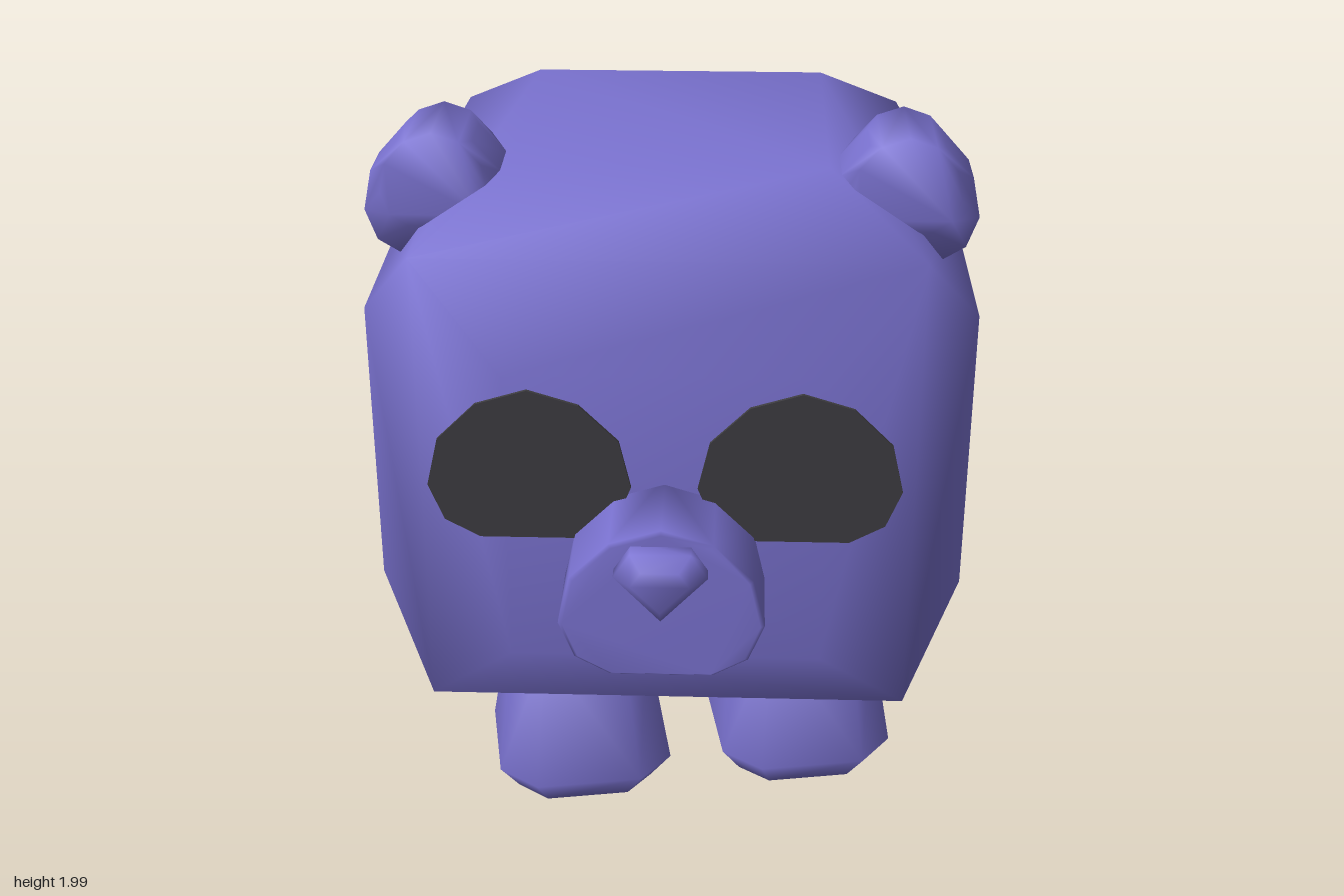
import * as THREE from 'three';
import { mergeVertices } from 'three/addons/utils/BufferGeometryUtils.js';
import { ConvexGeometry } from 'three/addons/geometries/ConvexGeometry.js';

const V = (x, y, z) => new THREE.Vector3(x, y, z);

// Smooth-shaded convex solid around a set of points
function hull(points) {
  let g = new ConvexGeometry(points);
  g.deleteAttribute('normal');
  g = mergeVertices(g, 1e-4);
  g.computeVertexNormals();
  return g;
}

// Flat-bottomed dome outline shared by eyes, ears and snout (right half)
const HALF_DOME = [[0.13, 0], [0.22, 0.05], [0.26, 0.15], [0.23, 0.28], [0.13, 0.38]];
const DOME = [
  ...HALF_DOME, [0, 0.42],
  ...HALF_DOME.map(([x, y]) => [-x, y]).reverse(),
];
const NOSE = [[-0.117, 1.075], [-0.075, 1.14], [0.075, 1.14], [0.117, 1.075], [0, 0.95]];

// Outline placed at depth z, scaled about (0, cy)
const slice = (outline, z, sx = 1, sy = sx, cy = 0) =>
  outline.map(([x, y]) => V(x * sx, cy + (y - cy) * sy, z));

// Cube whose six faces bulge out as smaller squares
function bodyGeometry() {
  const pts = [];
  const s = [-1, 1];
  for (const a of s) for (const b of s) for (const c of s) {
    pts.push(V(a * 0.655, b * 0.655, c * 0.655));
    pts.push(V(a * 0.82, b * 0.41, c * 0.41));
    pts.push(V(a * 0.41, b * 0.82, c * 0.41));
    pts.push(V(a * 0.41, b * 0.41, c * 0.82));
  }
  return hull(pts);
}

// Tapered leg with chamfered corners and a rounded-in sole
function legGeometry() {
  const pts = [];
  for (const [y, k] of [[0, 0.78], [0.085, 1], [0.5, 0.73]]) {
    for (const a of [-1, 1]) for (const b of [-1, 1]) {
      pts.push(V(a * 0.25 * k, y, b * 0.15 * k), V(a * 0.15 * k, y, b * 0.25 * k));
    }
  }
  return hull(pts);
}

export function createModel() {
  const purple = new THREE.MeshStandardMaterial({ color: 0x7a72d0 });
  purple.name = 'purple';
  const charcoal = new THREE.MeshStandardMaterial({ color: 0x3d3c40 });
  charcoal.name = 'charcoal';

  const model = new THREE.Group();
  model.name = 'bear';

  const add = (parent, name, geometry, material, x = 0, y = 0, z = 0) => {
    const mesh = new THREE.Mesh(geometry, material);
    mesh.name = name;
    mesh.position.set(x, y, z);
    parent.add(mesh);
    return mesh;
  };

  // Head and body, turned slightly to its left
  const upper = new THREE.Group();
  upper.name = 'upperBody';
  upper.position.z = -0.15;
  upper.rotation.y = 0.0715;
  model.add(upper);

  add(upper, 'body', bodyGeometry(), purple, 0, 1.07, 0);

  // Ears: domes bevelled front and back
  const ear = hull([
    ...slice(DOME, -0.07, 0.75, 0.83), ...slice(DOME, 0.07, 0.75, 0.83),
    ...slice(DOME, -0.13, 0.54, 0.6, 0.26), ...slice(DOME, 0.13, 0.54, 0.6, 0.26),
  ]);

  // Eyes: thin plates just in front of the face
  const eye = new THREE.ExtrudeGeometry(
    new THREE.Shape(DOME.map(([x, y]) => new THREE.Vector2(x, y))),
    { depth: 0.009, bevelEnabled: false },
  );

  for (const [side, s] of [['left', 1], ['right', -1]]) {
    add(upper, side + 'Ear', ear, purple, s * 0.608, 1.63, 0.325);
    add(upper, side + 'Eye', eye, charcoal, s * 0.345, 1.03, 0.831);
  }

  // Snout and nose
  const snout = hull([
    ...slice(DOME, 0.78), ...slice(DOME, 1.055), ...slice(DOME, 1.065, 0.96, 0.96, 0.2),
  ]);
  add(upper, 'snout', snout, purple, 0, 0.76, 0);
  const nose = hull([
    ...slice(NOSE, 1.04), ...slice(NOSE, 1.105),
    ...slice(NOSE, 1.147, 0.62, 0.6, 1.07),
  ]);
  add(upper, 'nose', nose, purple);

  // Legs, turned a little further than the body
  const legs = new THREE.Group();
  legs.name = 'legs';
  legs.position.z = -0.15;
  legs.rotation.y = 0.24;
  model.add(legs);
  const leg = legGeometry();
  for (const [side, sx] of [['Left', 1], ['Right', -1]]) {
    for (const [end, sz] of [['front', 1], ['back', -1]]) {
      add(legs, end + side + 'Leg', leg, purple, sx * 0.328, 0, sz * 0.328);
    }
  }

  return model;
}
